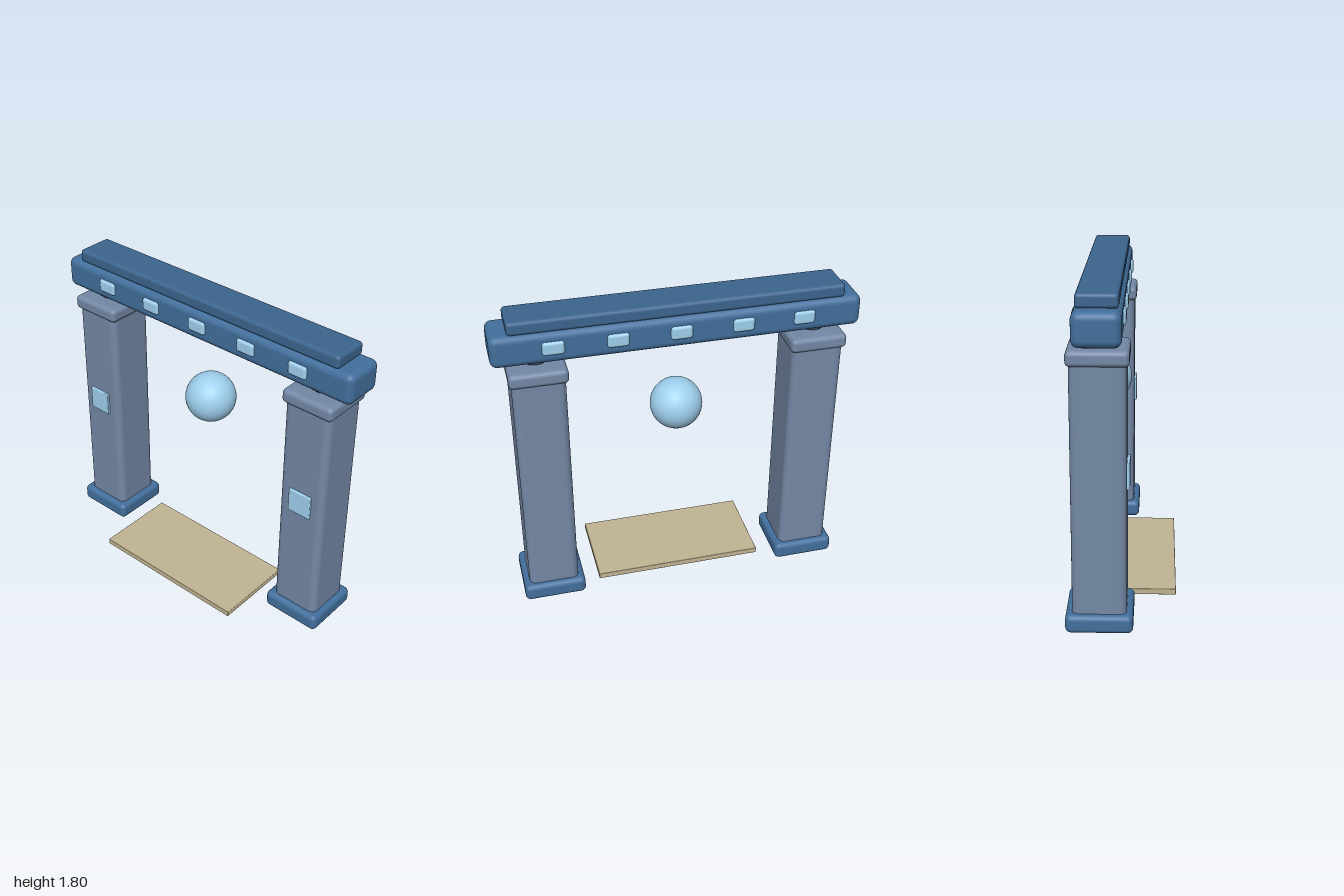
import * as THREE from 'three';
import { RoundedBoxGeometry } from 'three/addons/geometries/RoundedBoxGeometry.js';

const stone = new THREE.MeshStandardMaterial({ color: 0x7488a6 });
const blue = new THREE.MeshStandardMaterial({ color: 0x426f9c });
const darkBlue = new THREE.MeshStandardMaterial({ color: 0x3c658e });
const glow = new THREE.MeshStandardMaterial({ color: 0x9fd0ee });
const sand = new THREE.MeshStandardMaterial({ color: 0xc2b594 });

const Z = -0.11; // depth line of the gate

function add(parent, name, geometry, material, x, y, z) {
  const mesh = new THREE.Mesh(geometry, material);
  mesh.name = name;
  mesh.position.set(x, y, z);
  parent.add(mesh);
  return mesh;
}

const rounded = (w, h, d, r) => new RoundedBoxGeometry(w, h, d, 4, r);

// One column: base, shaft, front panel, capital and the ball carrying the beam
function createPillar(name, x) {
  const pillar = new THREE.Group();
  pillar.name = name;
  pillar.position.set(x, 0, Z);
  add(pillar, 'base', rounded(0.355, 0.102, 0.355, 0.03), blue, 0, 0.058, 0);
  add(pillar, 'shaft', rounded(0.287, 1.5, 0.287, 0.04), stone, 0, 0.75, 0);
  add(pillar, 'panel', rounded(0.142, 0.142, 0.03, 0.005), glow, 0, 0.847, 0.143);
  add(pillar, 'capital', rounded(0.315, 0.082, 0.315, 0.026), stone, 0, 1.48, 0);
  add(pillar, 'bearingBall', new THREE.SphereGeometry(0.12, 32, 20), stone, 0, 1.624, 0);
  return pillar;
}

export function createModel() {
  const gate = new THREE.Group();
  gate.name = 'gate';

  gate.add(createPillar('leftPillar', 0.763), createPillar('rightPillar', -0.763));

  // Lintel with its top slab
  add(gate, 'beam', rounded(2, 0.178, 0.245, 0.04), blue, 0, 1.64, Z);
  add(gate, 'topSlab', rounded(1.81, 0.075, 0.214, 0.02), darkBlue, 0, 1.763, Z);

  // Lights running through the beam, showing on both faces
  for (let i = -2; i <= 2; i++) {
    add(gate, 'beamLight', rounded(0.118, 0.078, 0.272, 0.018), glow, i * 0.3375, 1.643, Z);
  }

  // Floating orb and the walkway below
  add(gate, 'orb', new THREE.SphereGeometry(0.146, 48, 32), glow, 0, 1.135, Z);
  add(gate, 'walkway', rounded(0.98, 0.035, 0.49, 0.004), sand, 0, 0.026, 0.05);

  return gate;
}
